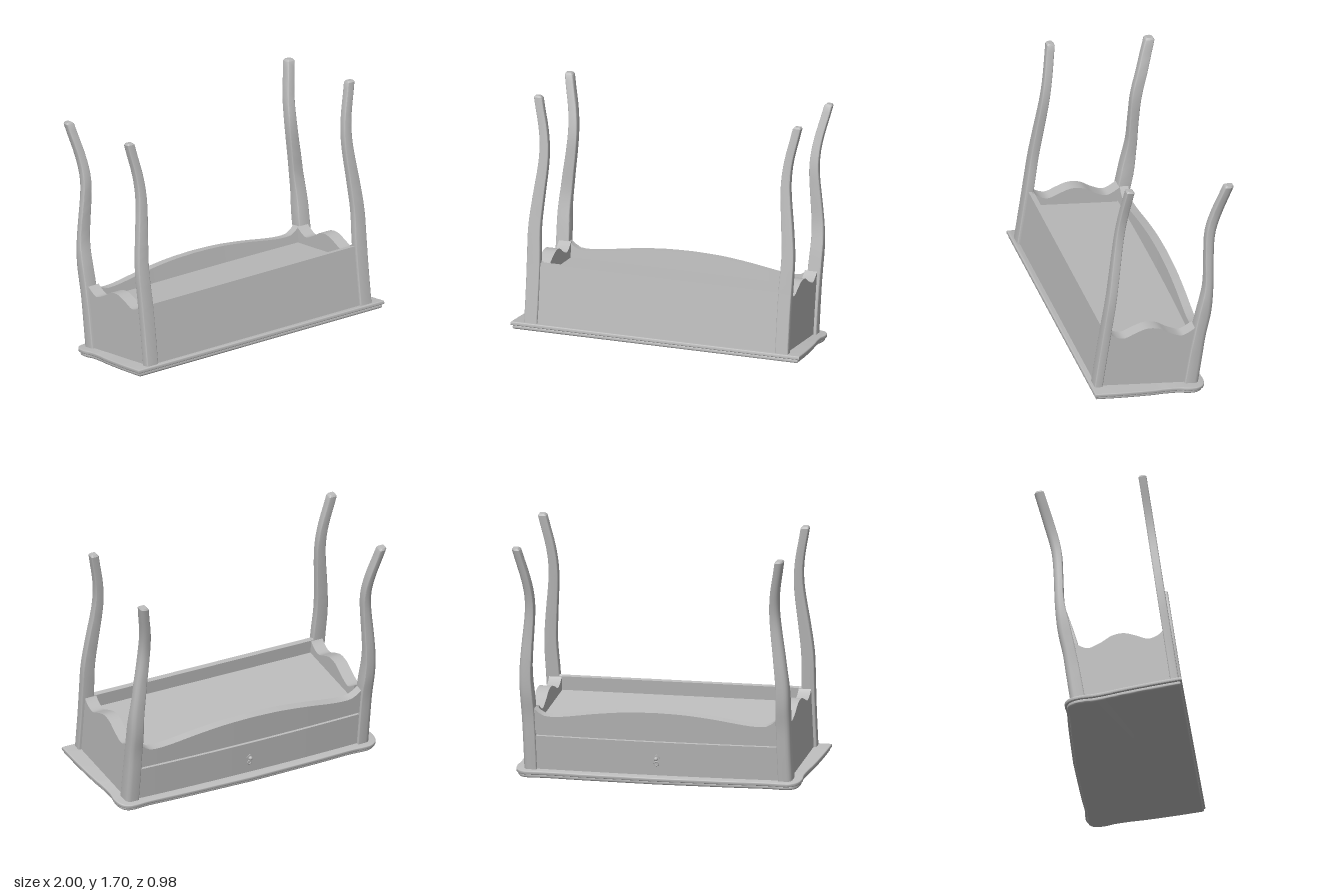
import * as THREE from 'three';
import { toCreasedNormals } from 'three/addons/utils/BufferGeometryUtils.js';

// Solid skin over a list of equal-length rings, closed with end caps
function loft(rings, crease = 0.6) {
  const tris = [];
  const n = rings[0].length;
  for (let r = 0; r < rings.length - 1; r++) {
    for (let i = 0; i < n; i++) {
      const j = (i + 1) % n;
      const [a, b, c, d] = [rings[r][i], rings[r][j], rings[r + 1][j], rings[r + 1][i]];
      tris.push([a, b, c], [a, c, d]);
    }
  }
  const first = rings[0], last = rings[rings.length - 1];
  for (let i = 1; i < n - 1; i++) {
    tris.push([first[0], first[i + 1], first[i]], [last[0], last[i], last[i + 1]]);
  }
  // face outwards whatever the ring direction
  const cross = new THREE.Vector3();
  let volume = 0;
  for (const [a, b, c] of tris) volume += a.dot(cross.crossVectors(b, c));
  const pts = tris.flatMap(([a, b, c]) => (volume < 0 ? [a, c, b] : [a, b, c]));
  const geo = new THREE.BufferGeometry().setFromPoints(pts);
  return toCreasedNormals(geo, crease);
}

// Smooth lookup: spline through [x, y] points
const smooth = (pts, n) =>
  new THREE.SplineCurve(pts.map(([x, y]) => new THREE.Vector2(x, y))).getPoints(n);

// Linear interpolation in rows [key, a, b], keys ascending
function lookup(rows, k) {
  const i = Math.max(1, rows.findIndex((r) => r[0] >= k));
  const [p, q] = [rows[i - 1], rows[i]];
  const t = (k - p[0]) / (q[0] - p[0]);
  return [1, 2].map((m) => THREE.MathUtils.lerp(p[m], q[m], t));
}

// Spline rows [height, centre, width] into dense rows
function denseRows(rows) {
  const curve = new THREE.CatmullRomCurve3(rows.map((r) => new THREE.Vector3(...r)), false, 'centripetal');
  return curve.getPoints(60).map((p) => [p.x, p.y, p.z]);
}

// Sideways sweep shared by all legs
const LEG_X = denseRows([
  [0.03, 0.87, 0.09], [0.3, 0.87, 0.09], [0.5, 0.873, 0.09], [0.7, 0.878, 0.084],
  [0.9, 0.863, 0.077], [1.1, 0.843, 0.067], [1.2, 0.838, 0.062], [1.3, 0.843, 0.058],
  [1.4, 0.858, 0.056], [1.5, 0.88, 0.055], [1.62, 0.905, 0.055],
]);
const FRONT_Z = [[0.03, 0.452, 0.056], [1.62, 0.46, 0.053]];
const BACK_Z = denseRows([
  [0.03, -0.2, 0.1], [0.25, -0.202, 0.096], [0.42, -0.205, 0.088], [0.59, -0.214, 0.088],
  [0.795, -0.215, 0.064], [0.994, -0.195, 0.062], [1.194, -0.181, 0.067],
  [1.4, -0.203, 0.068], [1.62, -0.235, 0.063],
]);

// Leg with small chamfers and a rounder outer back corner
function legGeometry(side, zRows, top, outerRound) {
  const rings = [];
  const steps = 36;
  const heights = Array.from({ length: steps + 1 }, (_, i) => 0.035 + ((top - 0.047) * i) / steps);
  heights.push(top);
  heights.forEach((y, k) => {
    const [cx, wx] = lookup(LEG_X, y);
    const [cz, wz] = lookup(zRows, y);
    const shrink = k === heights.length - 1 ? 0.009 : 0;
    const hx = wx / 2 - shrink, hz = wz / 2 - shrink;
    const ring = [];
    for (const [sx, sz, a0] of [[1, 1, 0], [-1, 1, 1], [-1, -1, 2], [1, -1, 3]]) {
      const r = Math.min(sx > 0 && sz < 0 ? outerRound : 0.007, hx, hz);
      for (let i = 0; i <= 3; i++) {
        const a = (a0 + i / 3) * Math.PI / 2;
        ring.push(new THREE.Vector3(
          side * (cx + sx * (hx - r) + r * Math.cos(a)), y, cz + sz * (hz - r) + r * Math.sin(a)));
      }
    }
    rings.push(ring);
  });
  return loft(rings);
}

// Bowed board across the back between two heights
function bowedBoard(bottom, topAt, thickness, back) {
  const rings = [];
  for (let i = 0; i <= 48; i++) {
    const x = -0.83 + (1.66 * i) / 48;
    const z = back - 0.014 * (1 - (x / 0.83) ** 2);
    const y = topAt(Math.abs(x));
    rings.push([[bottom, z], [y, z], [y, z + thickness], [bottom, z + thickness]]
      .map(([v, w]) => new THREE.Vector3(x, v, w)));
  }
  return loft(rings);
}

export function createModel() {
  const wood = new THREE.MeshStandardMaterial({ color: 0xbbbbbb });
  wood.name = 'plainGrey';
  const model = new THREE.Group();
  model.name = 'overturnedTable';
  const table = new THREE.Group();
  table.name = 'table';
  model.add(table);
  const add = (name, geo, x = 0, y = 0, z = 0) => {
    const mesh = new THREE.Mesh(geo, wood);
    mesh.name = name;
    mesh.position.set(x, y, z);
    table.add(mesh);
    return mesh;
  };

  // Table top: shaped outline, stepped moulded edge
  const half = smooth([
    [1, 0.5], [0.995, 0.3], [0.982, 0.1], [0.97, 0], [0.965, -0.1], [0.974, -0.17],
    [0.965, -0.235], [0.93, -0.278], [0.87, -0.292], [0.75, -0.287], [0.5, -0.296], [0, -0.306],
  ], 60);
  const outline = [
    ...half.map((p) => new THREE.Vector2(p.x, -p.y)),
    ...half.slice(0, -1).reverse().map((p) => new THREE.Vector2(-p.x, -p.y)),
  ];
  const slab = (height, bevel, inset) => {
    const geo = new THREE.ExtrudeGeometry(new THREE.Shape(outline), {
      depth: height - 2 * bevel, bevelThickness: bevel, bevelSize: bevel,
      bevelOffset: -bevel - inset, bevelSegments: 3,
    });
    geo.translate(0, 0, bevel);
    geo.rotateX(-Math.PI / 2);
    return toCreasedNormals(geo, 0.6);
  };
  add('topLowerMoulding', slab(0.03, 0.012, 0.012));
  add('topSlab', slab(0.025, 0.006, 0), 0, 0.026, 0);

  // Legs
  for (const [side, label] of [[1, 'left'], [-1, 'right']]) {
    add(label + 'FrontLeg', legGeometry(side, FRONT_Z, 1.595, 0.007));
    add(label + 'BackLeg', legGeometry(side, BACK_Z, 1.605, 0.032));
  }

  // Scalloped side panels
  const scallop = smooth([
    [0.44, 0.47], [0.41, 0.442], [0.366, 0.421], [0.315, 0.418], [0.249, 0.453], [0.173, 0.485],
    [0.092, 0.482], [0.016, 0.447], [-0.069, 0.42], [-0.117, 0.437], [-0.165, 0.475],
  ], 40);
  for (const side of [1, -1]) {
    const shape = new THREE.Shape([
      new THREE.Vector2(-0.165, 0.04), new THREE.Vector2(0.44, 0.04), ...scallop,
    ]);
    const geo = new THREE.ExtrudeGeometry(shape, { depth: 0.085, bevelEnabled: false });
    geo.rotateY(-Math.PI / 2);
    add(side > 0 ? 'leftPanel' : 'rightPanel', toCreasedNormals(geo, 0.6), side > 0 ? 0.895 : -0.81, 0, 0);
  }

  // Front panel and inner floor
  add('frontPanel', new THREE.BoxGeometry(1.66, 0.42, 0.036), 0, 0.25, 0.445);
  add('innerFloor', new THREE.BoxGeometry(1.64, 0.02, 0.64), 0, 0.355, 0.115);

  // Back: drawer front, recessed gap, arched rail
  const arch = smooth([
    [0, 0.49], [0.2, 0.483], [0.4, 0.462], [0.6, 0.432], [0.7, 0.423], [0.77, 0.43], [0.83, 0.475],
  ], 60).map((p) => [p.x, p.y, 0]);
  add('drawerFront', bowedBoard(0.04, () => 0.283, 0.06, -0.232));
  add('drawerGap', bowedBoard(0.27, () => 0.31, 0.04, -0.212));
  add('archedRail', bowedBoard(0.297, (x) => lookup(arch, x)[0], 0.06, -0.232));

  // Drawer pull: diamond plate, knob and small drop
  const plate = add('pullPlate', new THREE.CylinderGeometry(0.026, 0.026, 0.008, 4), 0, 0.17, -0.248);
  plate.rotation.x = Math.PI / 2;
  add('pullKnob', new THREE.SphereGeometry(0.014, 12, 8), 0, 0.17, -0.26);
  add('pullDrop', new THREE.TorusGeometry(0.014, 0.005, 6, 12), 0, 0.135, -0.252);

  // Leaning pose
  table.rotation.set(-0.147, 0, -0.006);
  table.position.y = 0.046;
  return model;
}
